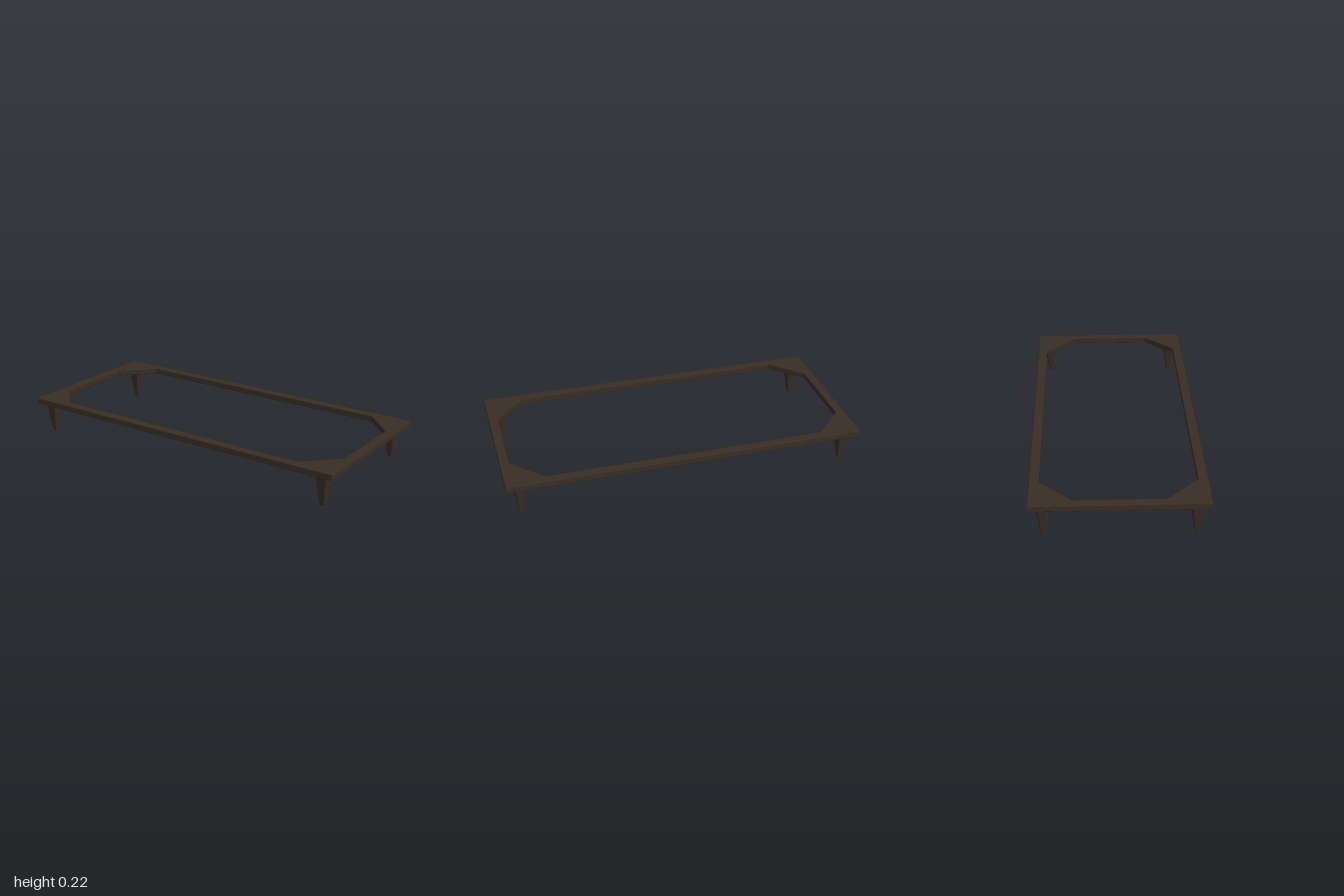
import * as THREE from 'three';

const darkWood = new THREE.MeshStandardMaterial({ color: 0x3a2e24 });
darkWood.name = 'darkWood';

// Flat-shaded loft through stacked square sections with clipped corners: [y, halfWidth, clip]
function clippedLoft(sections) {
  const pos = [];
  const rings = sections.map(([y, h, c]) => {
    const k = h - c;
    return [[h, -k], [h, k], [k, h], [-k, h], [-h, k], [-h, -k], [-k, -h], [k, -h]]
      .map(([x, z]) => [x, y, z]);
  });
  const tri = (...pts) => pts.forEach((p) => pos.push(...p));
  for (let r = 0; r + 1 < rings.length; r++) {
    for (let i = 0; i < 8; i++) {
      const j = (i + 1) % 8;
      const [a, b, c, d] = [rings[r][i], rings[r][j], rings[r + 1][j], rings[r + 1][i]];
      tri(a, d, c);
      tri(a, c, b);
    }
  }
  const low = rings[0], top = rings[rings.length - 1];
  for (let i = 1; i < 7; i++) {
    tri(low[0], low[i], low[i + 1]);
    tri(top[0], top[i + 1], top[i]);
  }
  const geometry = new THREE.BufferGeometry();
  geometry.setAttribute('position', new THREE.Float32BufferAttribute(pos, 3));
  geometry.computeVertexNormals();
  return geometry;
}

export function createModel() {
  const model = new THREE.Group();
  model.name = 'baseFrame';

  // Rectangular rail frame, its opening cut across the corners to leave gussets
  const points = (list) => list.map(([x, y]) => new THREE.Vector2(x, y));
  const outline = new THREE.Shape(points([[-1, -0.458], [1, -0.458], [1, 0.458], [-1, 0.458]]));
  outline.holes.push(new THREE.Path(points([
    [-0.95, -0.235], [-0.95, 0.235], [-0.78, 0.407], [0.78, 0.407],
    [0.95, 0.235], [0.95, -0.235], [0.78, -0.407], [-0.78, -0.407],
  ])));
  const bevel = 0.003;
  const frameGeometry = new THREE.ExtrudeGeometry(outline, {
    depth: 0.035 - 2 * bevel, bevelEnabled: true, bevelSegments: 1,
    bevelSize: bevel, bevelThickness: bevel, bevelOffset: -bevel,
  });
  frameGeometry.rotateX(-Math.PI / 2);
  const frame = new THREE.Mesh(frameGeometry, darkWood);
  frame.name = 'frame';
  frame.position.y = 0.18 + bevel;
  model.add(frame);

  // Four tapered legs, each on a small round glide
  const legGeometry = clippedLoft([[0.012, 0.0125, 0.004], [0.016, 0.0145, 0.004], [0.181, 0.037, 0.01]]);
  const glideGeometry = new THREE.CylinderGeometry(0.01, 0.01, 0.014, 16);
  for (const x of [-0.922, 0.922]) {
    for (const z of [-0.385, 0.392]) {
      const leg = new THREE.Group();
      leg.name = (z > 0 ? 'front' : 'back') + (x > 0 ? 'Left' : 'Right') + 'Leg';
      const post = new THREE.Mesh(legGeometry, darkWood);
      post.name = 'post';
      const glide = new THREE.Mesh(glideGeometry, darkWood);
      glide.name = 'glide';
      glide.position.y = 0.007;
      leg.add(post, glide);
      leg.position.set(x, 0, z);
      model.add(leg);
    }
  }
  return model;
}
